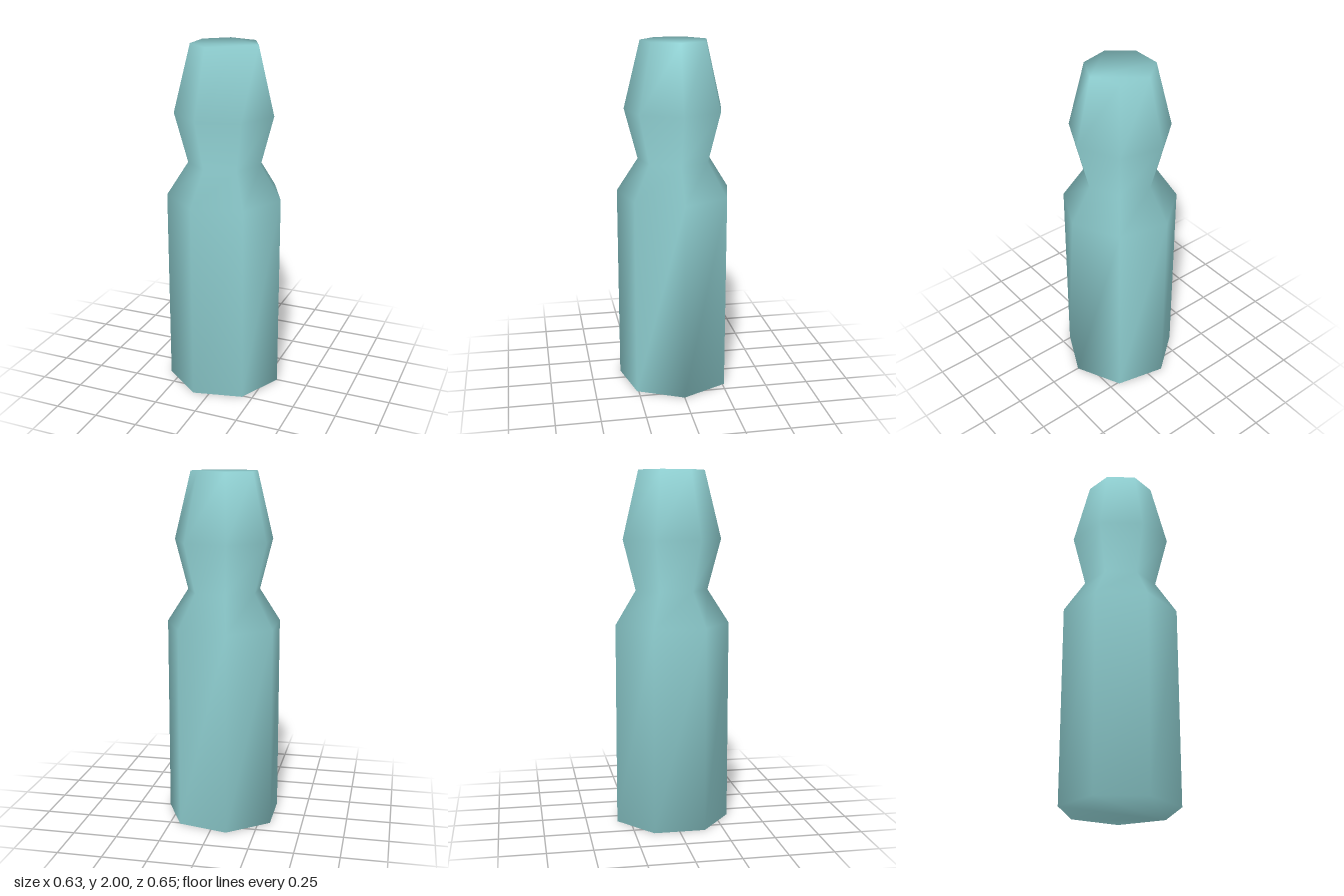
import * as THREE from 'three';

const SIDES = 7;
// [radius, height] of each ring, from the base up
const RINGS = [[0.333, 0], [0.333, 1.145], [0.211, 1.335], [0.286, 1.62], [0.192, 2]];

// Rings joined by quads and closed by flat caps; shared vertices give smooth normals
function loft(rings, sides) {
  const positions = [], index = [];
  for (const [r, y] of rings) {
    for (let i = 0; i < sides; i++) {
      const a = (i / sides) * Math.PI * 2;
      positions.push(r * Math.cos(a), y, r * Math.sin(a));
    }
  }
  for (let j = 0; j < rings.length - 1; j++) {
    for (let i = 0; i < sides; i++) {
      const a = j * sides + i, b = j * sides + (i + 1) % sides;
      index.push(a, a + sides, b, b, a + sides, b + sides);
    }
  }
  // caps
  const top = (rings.length - 1) * sides;
  for (let i = 1; i < sides - 1; i++) {
    index.push(0, i, i + 1);
    index.push(top, top + i + 1, top + i);
  }
  const geometry = new THREE.BufferGeometry();
  geometry.setAttribute('position', new THREE.Float32BufferAttribute(positions, 3));
  geometry.setIndex(index);
  geometry.computeVertexNormals();
  return geometry;
}

export function createModel() {
  const model = new THREE.Group();
  model.name = 'bottle';
  const teal = new THREE.MeshStandardMaterial({ color: 0x8fcfd1 });
  teal.name = 'pale teal';

  // Seven-sided body, shoulder, neck and flared cap in one smooth skin
  const body = new THREE.Mesh(loft(RINGS, SIDES), teal);
  body.name = 'bottleBody';
  body.position.x = -0.017;
  model.add(body);
  return model;
}
